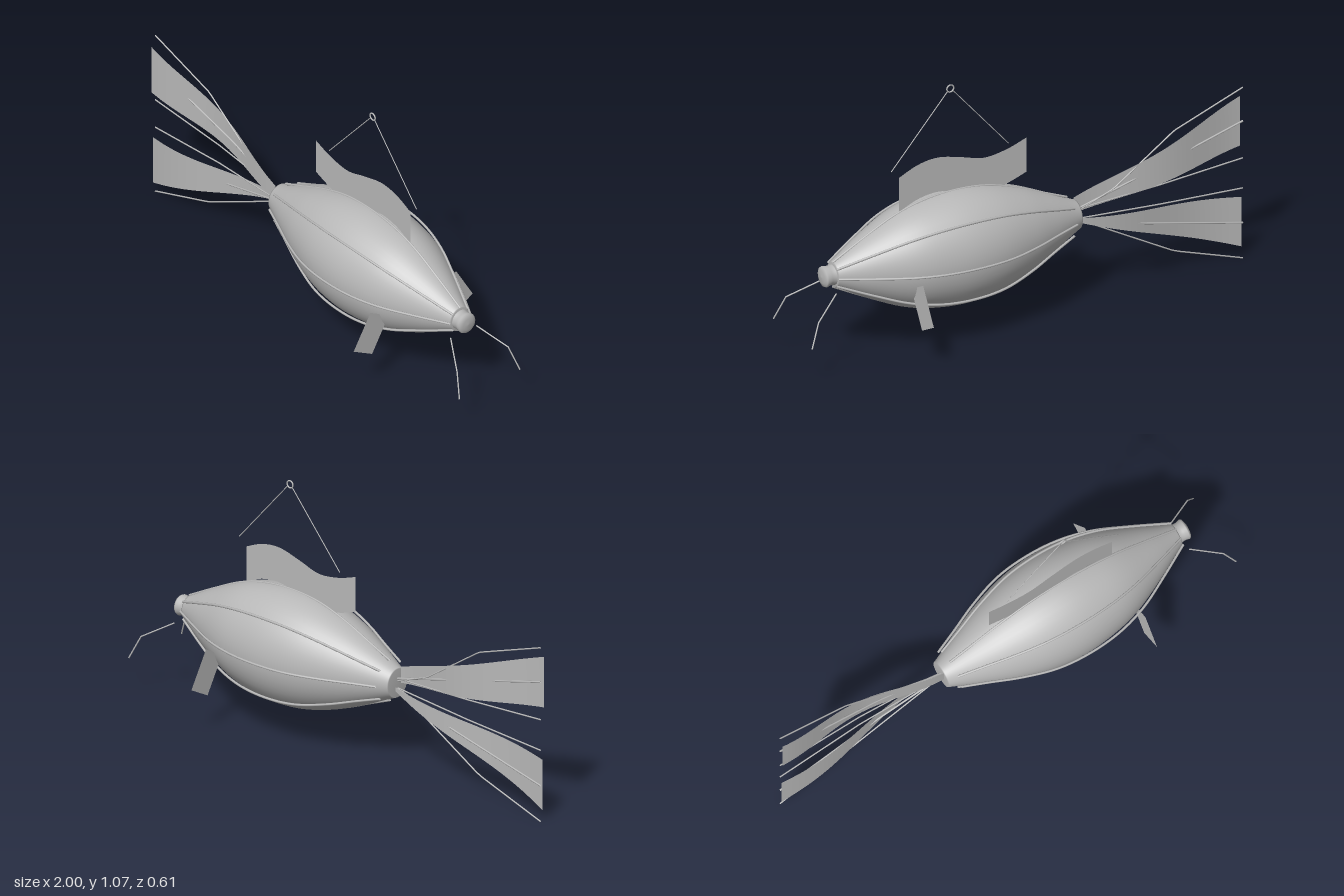
import * as THREE from 'three';

const AXIS_Y = 0.375;

export function createModel() {
  const model = new THREE.Group();
  const grey = new THREE.MeshStandardMaterial({ color: 0xb8b8b8, side: THREE.DoubleSide });
  grey.name = 'paper grey';

  const add = (name, geometry) => {
    const mesh = new THREE.Mesh(geometry, grey);
    mesh.name = name;
    model.add(mesh);
    return mesh;
  };

  // Straight-sided wire through a list of points
  const wire = (name, points, radius) => {
    const path = new THREE.CurvePath();
    const v = points.map((p) => new THREE.Vector3(...p));
    for (let i = 1; i < v.length; i++) path.add(new THREE.LineCurve3(v[i - 1], v[i]));
    return add(name, new THREE.TubeGeometry(path, (v.length - 1) * 12, radius, 6));
  };

  // Solid of revolution lying along x
  const lathe = (name, profile) => {
    const g = new THREE.LatheGeometry(profile, 48);
    g.rotateZ(-Math.PI / 2);
    const mesh = add(name, g);
    mesh.position.y = AXIS_Y;
    return mesh;
  };

  // Ribbon between an upper and a lower edge, waved sideways by z(x)
  const ribbon = (name, x0, x1, top, bottom, z) => {
    const g = new THREE.PlaneGeometry(1, 1, 32, 4);
    const pos = g.attributes.position;
    for (let i = 0; i < pos.count; i++) {
      const x = THREE.MathUtils.lerp(x0, x1, pos.getX(i) + 0.5);
      const y = THREE.MathUtils.lerp(bottom(x), top(x), pos.getY(i) + 0.5);
      pos.setXYZ(i, x, y, z(x));
    }
    g.computeVertexNormals();
    return add(name, g);
  };

  // Body, slightly taller than wide
  const bodyCurve = new THREE.SplineCurve([
    [0.055, -0.26], [0.072, -0.22], [0.117, -0.12], [0.165, 0], [0.204, 0.14], [0.218, 0.28],
    [0.206, 0.42], [0.177, 0.54], [0.117, 0.68], [0.066, 0.78], [0.046, 0.82],
  ].map(([r, x]) => new THREE.Vector2(r, x)));
  const body = lathe('body', [
    new THREE.Vector2(0, -0.26), ...bodyCurve.getPoints(50), new THREE.Vector2(0, 0.825),
  ]);
  body.scale.y = 1.085;

  // Flared mouth with a rounded end
  lathe('mouth', [
    [0.045, 0.8], [0.04, 0.825], [0.039, 0.84], [0.043, 0.857], [0.04, 0.864], [0.025, 0.869], [0, 0.871],
  ].map(([r, x]) => new THREE.Vector2(r, x)));

  // Eight ribs around the body
  const ribProfile = [
    [-0.22, 0.084], [-0.12, 0.126], [0, 0.178], [0.14, 0.222], [0.28, 0.235],
    [0.42, 0.224], [0.55, 0.188], [0.68, 0.126], [0.82, 0.052],
  ];
  for (let i = 0; i < 8; i++) {
    const a = (i * Math.PI) / 4;
    const curve = new THREE.CatmullRomCurve3(ribProfile.map(
      ([x, r]) => new THREE.Vector3(x, AXIS_Y + r * Math.cos(a), r * Math.sin(a))));
    add('rib', new THREE.TubeGeometry(curve, 40, 0.005, 6));
  }

  // Back fin with wavy edges
  const finCurve = new THREE.SplineCurve([
    [-0.04, 0.76], [0.05, 0.73], [0.15, 0.718], [0.25, 0.745], [0.35, 0.768], [0.44, 0.758], [0.525, 0.722],
  ].map((p) => new THREE.Vector2(...p)));
  const finLine = finCurve.getPoints(32);
  const finShape = new THREE.Shape([
    ...finLine,
    ...finLine.slice().reverse().map((p) => new THREE.Vector2(p.x, p.y - 0.148)),
  ]);
  add('backFin', new THREE.ShapeGeometry(finShape));

  // Two tail fins
  const line = (ya, yb) => (x) => THREE.MathUtils.mapLinear(x, -1, -0.26, ya, yb);
  ribbon('upperTailFin', -1, -0.26, line(0.7, 0.438), line(0.485, 0.37),
    (x) => 0.02 * Math.cos((2 * Math.PI * (x + 1)) / 0.74));
  ribbon('lowerTailFin', -1, -0.26, line(0.267, 0.362), line(0.053, 0.345),
    (x) => 0.022 * Math.sin((2 * Math.PI * (x + 1)) / 0.9 + 0.5));

  // Tail rods, three for each fin
  const rods = [
    [[-0.26, 0.385], [-0.42, 0.45], [-0.69, 0.637], [-1, 0.745]],
    [[-0.26, 0.395], [-0.55, 0.479], [-1, 0.6]],
    [[-0.26, 0.395], [-0.63, 0.418], [-1, 0.44]],
    [[-0.26, 0.355], [-0.63, 0.334], [-1, 0.31]],
    [[-0.26, 0.353], [-0.55, 0.27], [-1, 0.16]],
    [[-0.26, 0.355], [-0.69, 0.117], [-1, 0.008]],
  ];
  rods.forEach((rod, i) => wire('tailRod',
    rod.map(([x, y]) => [x, y, x < -0.9 || x > -0.3 ? 0 : -0.01]), i % 3 === 1 ? 0.004 : 0.003));

  // Side fins and whiskers, mirrored across the body
  for (const s of [1, -1]) {
    const g = new THREE.BufferGeometry();
    g.setAttribute('position', new THREE.Float32BufferAttribute(
      [[0.208, 0.303], [0.155, 0.209], [0.3, 0.124], [0.353, 0.218]].flatMap(([y, z]) => [0.54, y, s * z]), 3));
    g.setIndex(s > 0 ? [0, 2, 1, 0, 3, 2] : [0, 1, 2, 0, 2, 3]);
    g.computeVertexNormals();
    add(s > 0 ? 'frontSideFin' : 'rearSideFin', g);
    wire('whisker', [[0.84, 0.325, s * 0.065], [0.955, 0.255, s * 0.13], [0.997, 0.16, s * 0.154]], 0.003);
  }

  // Hanging wires and ring
  wire('hangerWire', [[0.04, 0.755, 0], [0.287, 1.043, 0]], 0.002);
  wire('hangerWire', [[0.56, 0.755, 0], [0.31, 1.043, 0]], 0.002);
  const ring = add('hangerRing', new THREE.TorusGeometry(0.015, 0.003, 8, 24));
  ring.position.set(0.298, 1.053, 0);

  return model;
}
